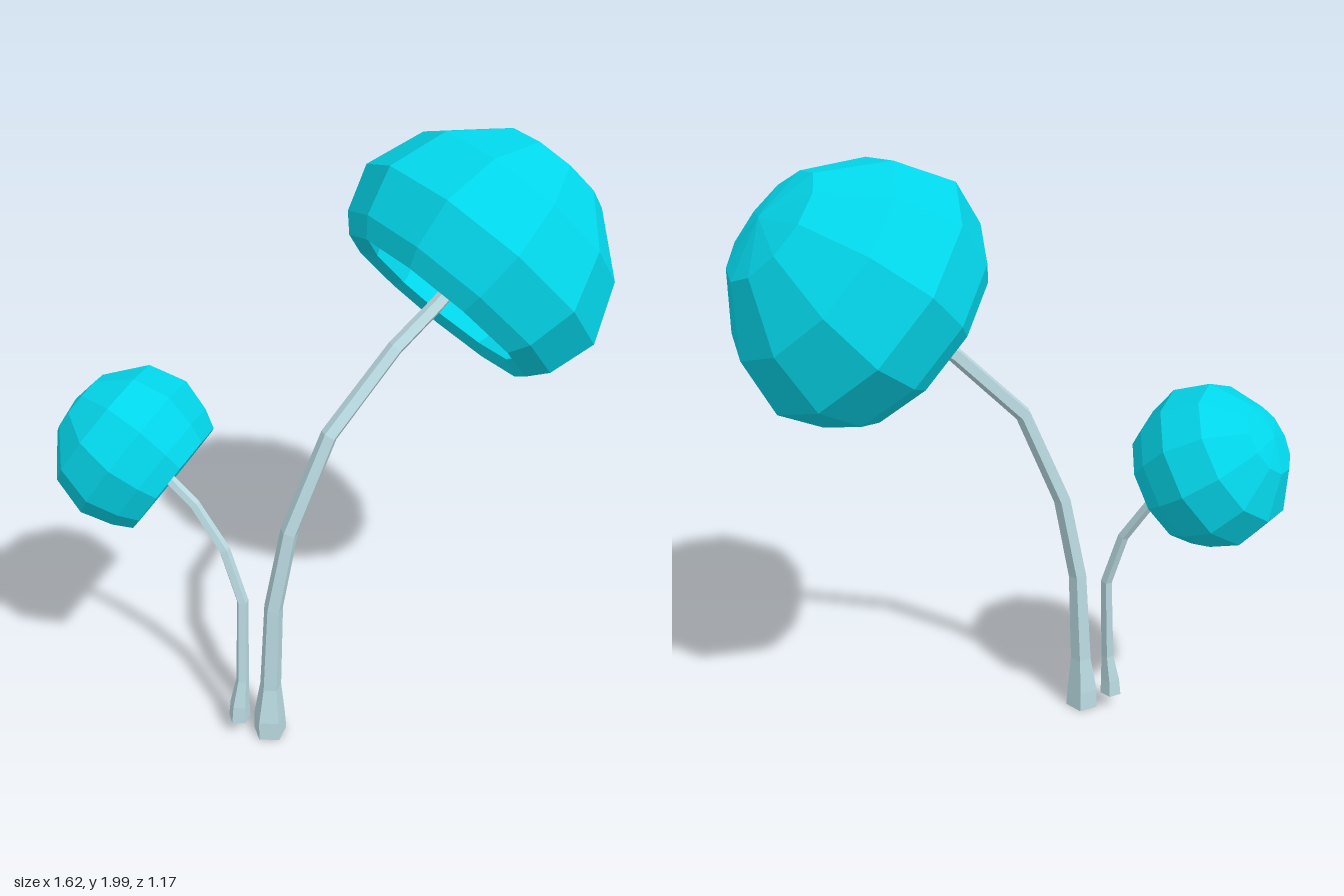
import * as THREE from 'three';

const capMaterial = new THREE.MeshStandardMaterial({ color: 0x02d6ea, flatShading: true });
const stemMaterial = new THREE.MeshStandardMaterial({ color: 0xbadbe2, flatShading: true });
const UP = new THREE.Vector3(0, 1, 0);

// Tapered faceted stem through [x, y, z, radius] stations, closed at both ends
function makeStem(stations, name, sides = 5) {
  const centres = stations.map(([x, y, z]) => new THREE.Vector3(x, y, z));
  const positions = [];
  const index = [];
  const last = centres.length - 1;
  centres.forEach((c, i) => {
    const tangent = i === 0
      ? UP.clone()
      : centres[Math.min(i + 1, last)].clone().sub(centres[i - 1]).normalize();
    const turn = new THREE.Quaternion().setFromUnitVectors(UP, tangent);
    for (let s = 0; s < sides; s++) {
      const a = (s / sides) * Math.PI * 2;
      const r = stations[i][3];
      const p = new THREE.Vector3(Math.sin(a) * r, 0, Math.cos(a) * r).applyQuaternion(turn).add(c);
      positions.push(p.x, p.y, p.z);
      if (i < last) {
        const k = i * sides + s;
        const n = i * sides + ((s + 1) % sides);
        index.push(k, n, n + sides, k, n + sides, k + sides);
      }
    }
  });
  for (let s = 1; s < sides - 1; s++) {
    const t = last * sides;
    index.push(0, s + 1, s, t, t + s, t + s + 1);
  }
  const geometry = new THREE.BufferGeometry();
  geometry.setAttribute('position', new THREE.Float32BufferAttribute(positions, 3));
  geometry.setIndex(index);
  geometry.computeVertexNormals();
  const mesh = new THREE.Mesh(geometry, stemMaterial);
  mesh.name = name;
  return mesh;
}

// Hollow cap: the [radius, height] profile runs from the inner dome, round the rim, to the crown
function makeCap(profile, centre, axis, squash, name) {
  const points = profile.map(([r, h]) => new THREE.Vector2(r, h));
  const geometry = new THREE.LatheGeometry(points, 11, -0.07).scale(squash, 1, 1);
  const mesh = new THREE.Mesh(geometry, capMaterial);
  mesh.position.set(...centre);
  mesh.quaternion.setFromUnitVectors(UP, new THREE.Vector3(...axis).normalize());
  mesh.name = name;
  return mesh;
}

export function createModel() {
  const model = new THREE.Group();
  model.name = 'mushroomPair';

  // Large mushroom, leaning to its left
  const large = new THREE.Group();
  large.name = 'largeMushroom';
  large.add(
    makeStem([
      [-0.322, 0, 0.054, 0.058], [-0.322, 0.07, 0.054, 0.055], [-0.312, 0.2, 0.052, 0.037],
      [-0.295, 0.53, 0.06, 0.032], [-0.24, 0.82, 0.08, 0.03], [-0.105, 1.14, 0.107, 0.028],
      [0.13, 1.375, 0.122, 0.026], [0.28, 1.48, 0.13, 0.025], [0.6, 1.745, 0.15, 0.022],
    ], 'largeStem'),
    makeCap([
      [0, 0.28], [0.18, 0.24], [0.32, 0.11], [0.36, -0.03], [0.29, -0.175],
      [0.35, -0.198], [0.4, -0.145], [0.447, 0], [0.375, 0.185], [0.2, 0.34], [0, 0.38],
    ], [0.428, 1.603, 0.138], [0.745, 0.665, 0.05], 0.97, 'largeCap'),
  );

  // Small mushroom, leaning to the back right
  const small = new THREE.Group();
  small.name = 'smallMushroom';
  small.add(
    makeStem([
      [-0.404, 0.06, -0.008, 0.038], [-0.4, 0.12, -0.008, 0.034], [-0.385, 0.22, -0.008, 0.022],
      [-0.36, 0.53, -0.025, 0.02], [-0.388, 0.72, -0.078, 0.019], [-0.44, 0.87, -0.16, 0.018],
      [-0.525, 1.01, -0.28, 0.017], [-0.62, 1.14, -0.43, 0.015],
    ], 'smallStem'),
    makeCap([
      [0, 0.16], [0.11, 0.14], [0.19, 0.06], [0.21, -0.03], [0.162, -0.16],
      [0.204, -0.168], [0.236, -0.11], [0.266, -0.01], [0.233, 0.11], [0.115, 0.205], [0, 0.225],
    ], [-0.552, 1.047, -0.335], [-0.475, 0.57, -0.67], 1, 'smallCap'),
  );

  model.add(large, small);
  return model;
}
